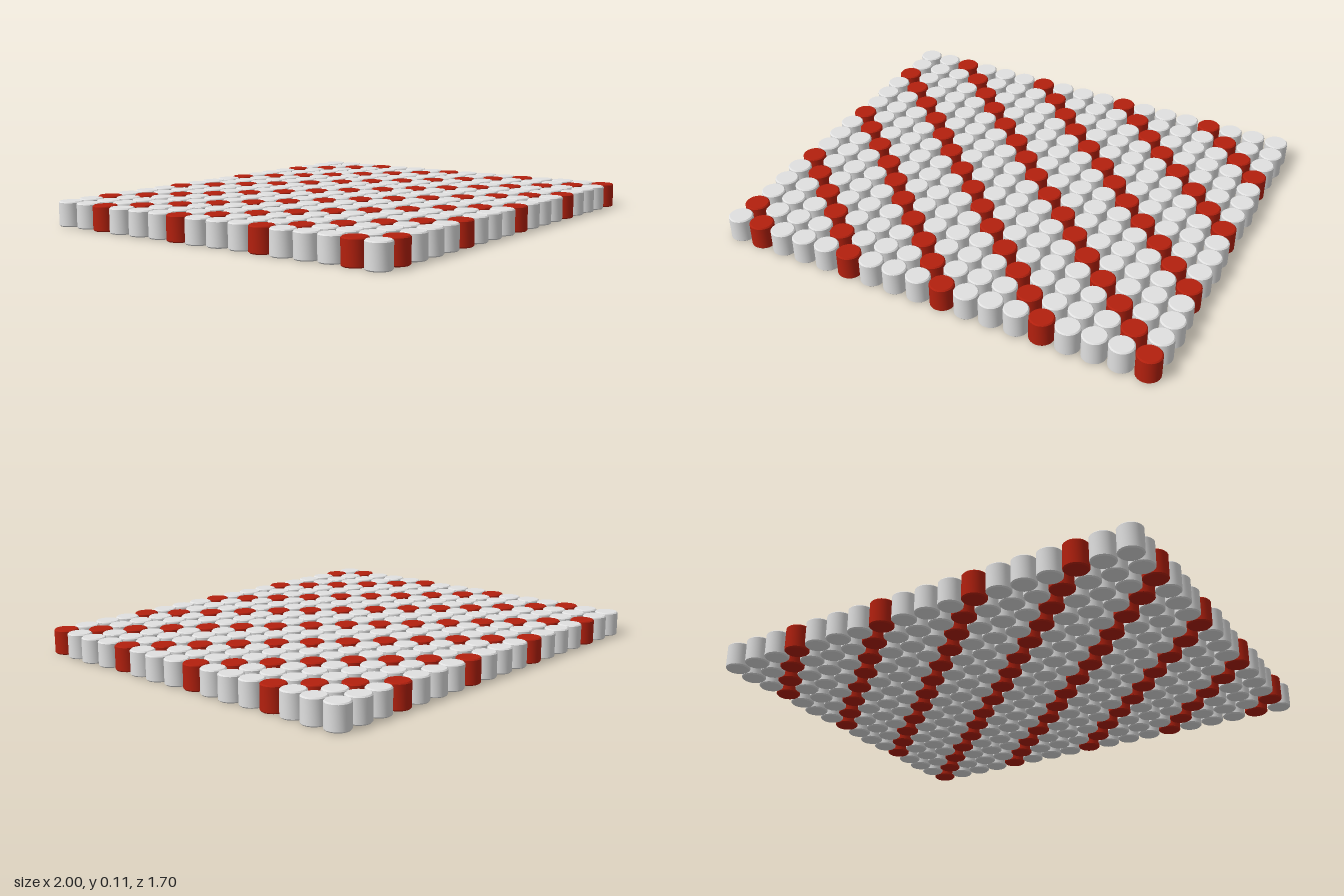
import * as THREE from 'three';
import { toCreasedNormals } from 'three/addons/utils/BufferGeometryUtils.js';

const COLS = 18, ROWS = 16;
const PITCH_X = 0.1108, PITCH_Z = 0.1066;
const R = 0.052, H = 0.108, BEVEL = 0.005;
const SWAY = [0, 0.006, 0, -0.006]; // small sideways shift, repeating every four rows

export function createModel() {
  const group = new THREE.Group();
  group.name = 'beadMat';

  const white = new THREE.MeshStandardMaterial({ color: 0xe0e0e0 });
  white.name = 'white';
  const red = new THREE.MeshStandardMaterial({ color: 0xb3200e });
  red.name = 'red';

  // One short cylindrical bead with slightly softened rims
  const profile = [
    [0, 0], [R - BEVEL, 0], [R, BEVEL],
    [R, H - BEVEL], [R - BEVEL, H], [0, H],
  ].map(([x, y]) => new THREE.Vector2(x, y));
  const beadGeometry = toCreasedNormals(new THREE.LatheGeometry(profile, 24), 0.5);

  // Rows of beads, every fourth one red, stepping over to form diagonal stripes
  for (let row = 0; row < ROWS; row++) {
    const rowGroup = new THREE.Group();
    rowGroup.name = `beadRow${row + 1}`;
    rowGroup.position.set(SWAY[row % 4], 0, (row - (ROWS - 1) / 2) * PITCH_Z);
    for (let col = 0; col < COLS; col++) {
      const isRed = col % 4 === (row + 2) % 4;
      const bead = new THREE.Mesh(beadGeometry, isRed ? red : white);
      bead.name = isRed ? 'redBead' : 'whiteBead';
      bead.position.x = (col - (COLS - 1) / 2) * PITCH_X;
      rowGroup.add(bead);
    }
    group.add(rowGroup);
  }
  return group;
}
